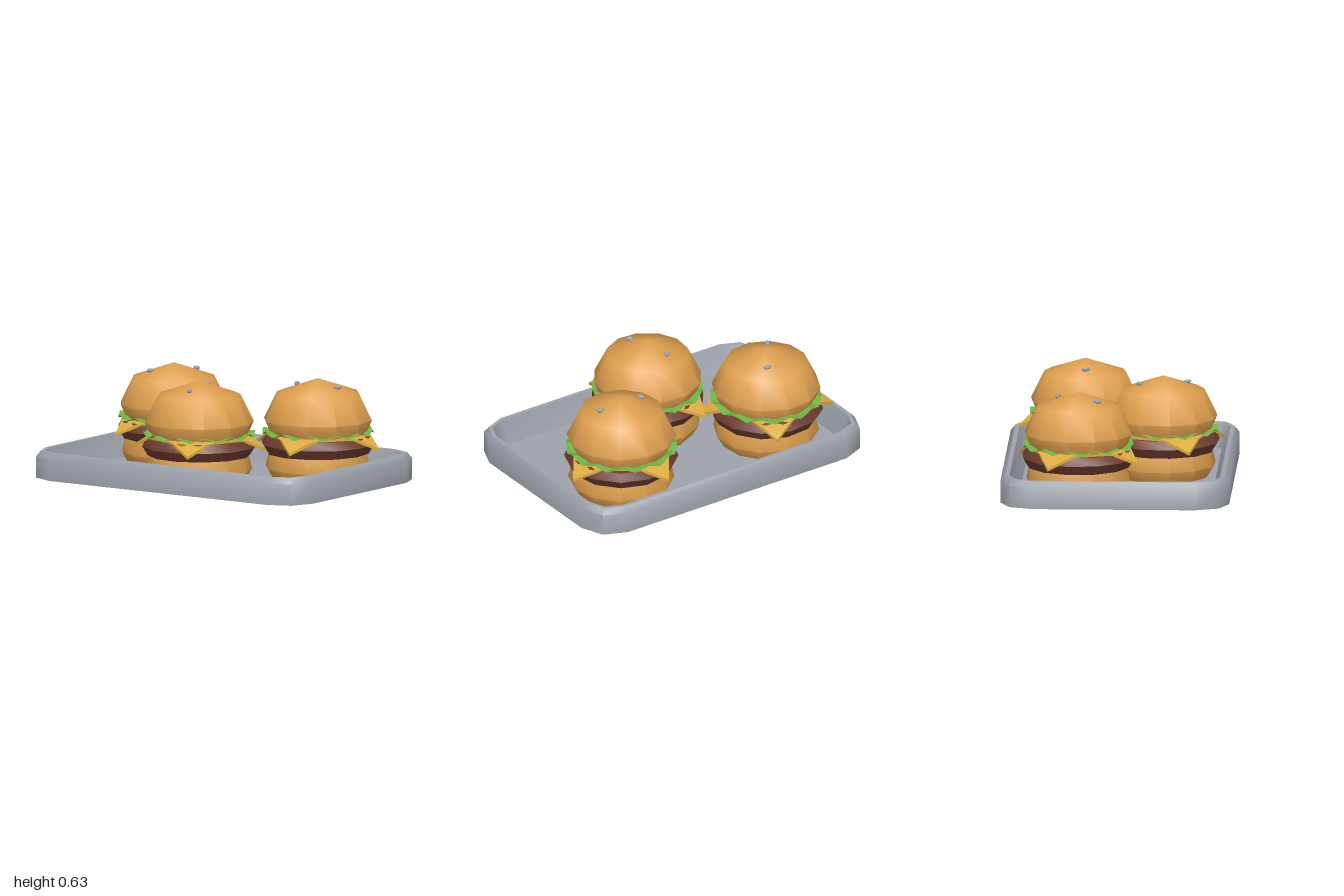
import * as THREE from 'three';
import { toCreasedNormals } from 'three/addons/utils/BufferGeometryUtils.js';

const mat = (name, color, side = THREE.FrontSide) => {
  const m = new THREE.MeshStandardMaterial({ color, side });
  m.name = name;
  return m;
};

const mesh = (name, geometry, material) => {
  const m = new THREE.Mesh(geometry, material);
  m.name = name;
  return m;
};

const lathe = (points) =>
  new THREE.LatheGeometry(points.map(([r, y]) => new THREE.Vector2(r, y)), 12);

// Rounded rectangular tray: rings of 12 points lofted from underside to floor
function trayGeometry() {
  const profile = [[0, 0], [0.2, 0], [0.2, 0.13], [0.17, 0.165], [0.145, 0.165], [0.09, 0.02], [0, 0.02]];
  const corners = [[0.8, 0.49], [-0.8, 0.49], [-0.8, -0.49], [0.8, -0.49]];
  const pos = [], index = [];
  profile.forEach(([r, y]) => {
    const closed = r === 0 ? 0 : 1;
    corners.forEach(([cx, cz], q) => {
      for (let k = 0; k < 3; k++) {
        const a = (q + k / 2) * Math.PI / 2;
        pos.push(closed * cx + r * Math.cos(a), y, closed * cz + r * Math.sin(a));
      }
    });
  });
  for (let i = 0; i < profile.length - 1; i++) {
    for (let j = 0; j < 12; j++) {
      const n = (j + 1) % 12;
      const a = i * 12 + j, b = i * 12 + n, c = a + 12, d = b + 12;
      if (i > 0) index.push(a, c, b);
      if (i === 0) index.push(a, c, d);
      else if (i < profile.length - 2) index.push(b, c, d);
    }
  }
  const g = new THREE.BufferGeometry();
  g.setAttribute('position', new THREE.Float32BufferAttribute(pos, 3));
  g.setIndex(index);
  return toCreasedNormals(g, 0.8);
}

// Square slice whose corners droop
function cheeseGeometry() {
  const g = new THREE.BoxGeometry(0.576, 0.018, 0.576, 8, 1, 8);
  const p = g.attributes.position;
  for (let i = 0; i < p.count; i++) {
    const reach = (Math.abs(p.getX(i)) + Math.abs(p.getZ(i))) / Math.SQRT2;
    p.setY(i, p.getY(i) + 0.29 - Math.max(0, reach - 0.288) * 0.6);
  }
  return toCreasedNormals(g, 0.6);
}

// Leaf ring with a zigzag rim
function lettuceGeometry() {
  const g = new THREE.RingGeometry(0.22, 0.337, 24, 1);
  g.rotateX(-Math.PI / 2);
  const p = g.attributes.position;
  for (let i = 0; i < p.count; i++) {
    const rim = Math.hypot(p.getX(i), p.getZ(i)) > 0.3;
    p.setY(i, rim ? (i % 2 ? 0.323 : 0.294) : 0.315);
  }
  return toCreasedNormals(g, 0.3);
}

export function createModel() {
  const bun = mat('bun', 0xdfa04f);
  const meat = mat('meat', 0x6e3d30);
  const cheese = mat('cheese', 0xdcac42);
  const leaf = mat('leaf', 0x6fb043, THREE.DoubleSide);
  const metal = mat('metal', 0x9ea3ac);

  const model = new THREE.Group();
  model.name = 'burgerTray';
  model.add(mesh('tray', trayGeometry(), metal));

  const lowerBun = toCreasedNormals(lathe([[0, 0.021], [0.28, 0.021], [0.32, 0.09], [0.3, 0.18], [0, 0.18]]), 0.8);
  const patty = toCreasedNormals(lathe([[0, 0.178], [0.31, 0.178], [0.345, 0.235], [0.32, 0.284], [0, 0.284]]), 0.6);
  const crown = toCreasedNormals(lathe([[0, 0.3], [0.295, 0.3], [0.33, 0.38], [0.25, 0.545], [0, 0.63]]), 0.9);
  const slice = cheeseGeometry();
  const lettuce = lettuceGeometry();
  const seed = new THREE.SphereGeometry(1, 6, 4).scale(0.028, 0.013, 0.017);

  // Three burgers: x, z, turn in degrees
  [[-0.53, -0.23, 20], [0.53, -0.23, 145], [0, 0.26, 70]].forEach(([x, z, turn]) => {
    const burger = new THREE.Group();
    burger.name = 'burger';
    burger.add(
      mesh('lowerBun', lowerBun, bun),
      mesh('patty', patty, meat),
      mesh('cheeseSlice', slice, cheese),
      mesh('lettuce', lettuce, leaf),
      mesh('crownBun', crown, bun),
    );
    // Seeds: direction and heading in degrees
    [[-38, 30], [148, 130]].forEach(([dir, heading]) => {
      const s = mesh('seed', seed, metal);
      const a = THREE.MathUtils.degToRad(dir);
      s.position.set(0.148 * Math.cos(a), 0.587, 0.148 * Math.sin(a));
      s.rotation.y = -THREE.MathUtils.degToRad(heading);
      burger.add(s);
    });
    burger.position.set(x, 0, z);
    burger.rotation.y = THREE.MathUtils.degToRad(turn);
    model.add(burger);
  });
  return model;
}
